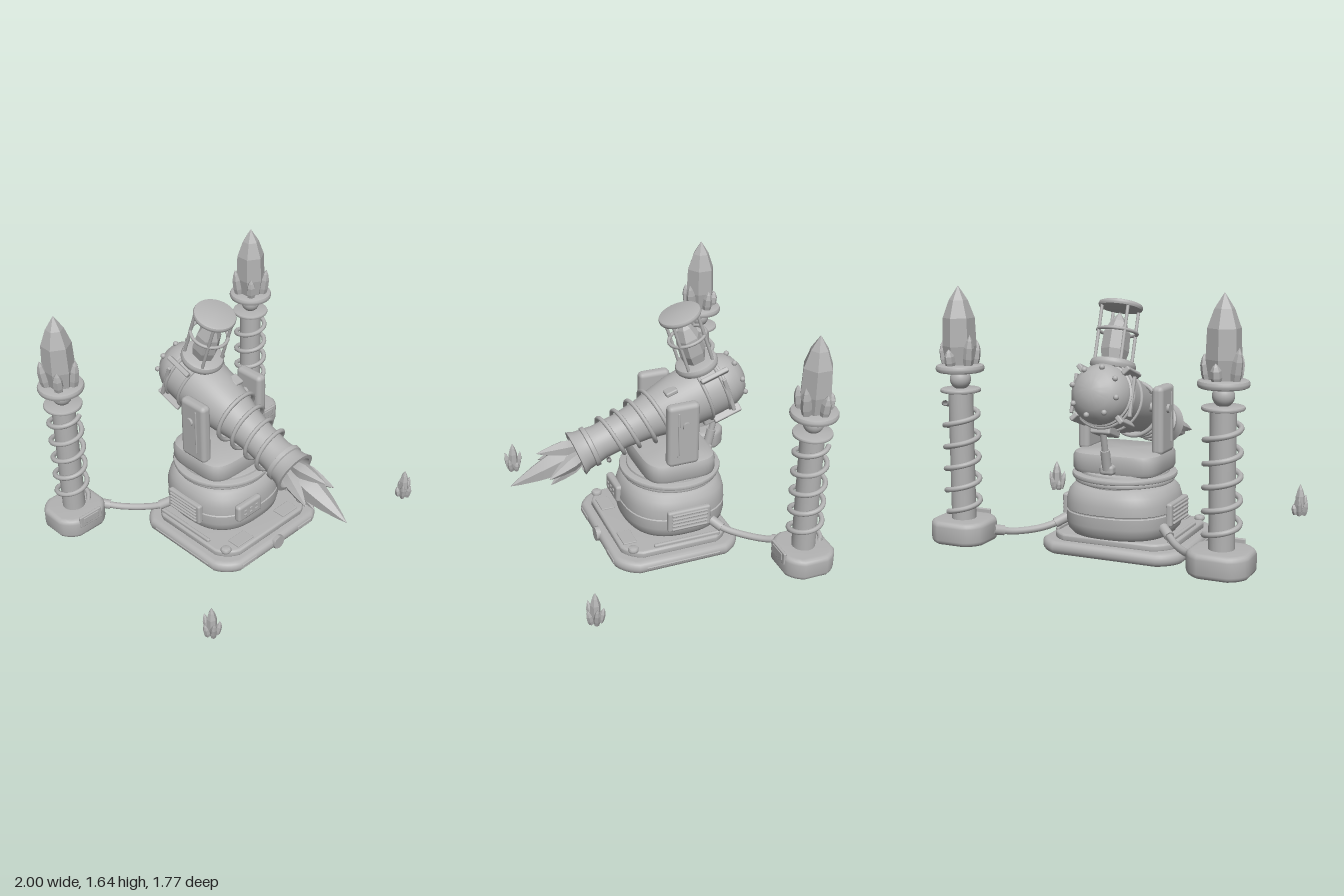
import * as THREE from 'three';
import { toCreasedNormals } from 'three/addons/utils/BufferGeometryUtils.js';
import { RoundedBoxGeometry } from 'three/addons/geometries/RoundedBoxGeometry.js';

const stone = new THREE.MeshStandardMaterial({ color: 0xb3b3b3, side: THREE.DoubleSide });
stone.name = 'plain grey';

const V = (x, y, z) => new THREE.Vector3(x, y, z);

function add(parent, name, geo, x = 0, y = 0, z = 0) {
  const m = new THREE.Mesh(geo, stone);
  m.name = name;
  m.position.set(x, y, z);
  parent.add(m);
  return m;
}

function group(parent, name, x = 0, y = 0, z = 0) {
  const g = new THREE.Group();
  g.name = name;
  g.position.set(x, y, z);
  parent.add(g);
  return g;
}

const lathe = (pts, n = 40) =>
  toCreasedNormals(new THREE.LatheGeometry(pts.map(p => new THREE.Vector2(...p)), n), 0.6);
const rbox = (w, h, d, r) => new RoundedBoxGeometry(w, h, d, 2, r);

// disc with rounded rim, standing on y = 0
function puck(r, h, b = h * 0.4) {
  return lathe([[0, 0], [r - b, 0], [r - b * 0.3, b * 0.3], [r, b], [r, h - b],
    [r - b * 0.3, h - b * 0.3], [r - b, h], [0, h]]);
}

// lathe squared off towards a superellipse of power n
function squircle(pts, depth, n) {
  const g = new THREE.LatheGeometry(pts.map(p => new THREE.Vector2(...p)), 64);
  const p = g.attributes.position;
  for (let i = 0; i < p.count; i++) {
    const x = p.getX(i), z = p.getZ(i), r = Math.hypot(x, z);
    if (r < 1e-6) continue;   // points on the axis stay put
    const k = Math.pow(Math.abs(x / r) ** n + Math.abs(z / r) ** n, -1 / n);
    p.setX(i, x * k);
    p.setZ(i, z * k * depth);
  }
  return toCreasedNormals(g, 0.6);
}

// flat slab with cut corners and a bevelled rim, standing on y = 0
function slab(w, h, d, cut, b) {
  const a = w / 2 - b, c = d / 2 - b, s = new THREE.Shape();
  s.moveTo(-a + cut, -c);
  s.lineTo(a - cut, -c); s.quadraticCurveTo(a - cut * 0.3, -c + cut * 0.3, a, -c + cut);
  s.lineTo(a, c - cut); s.quadraticCurveTo(a - cut * 0.3, c - cut * 0.3, a - cut, c);
  s.lineTo(-a + cut, c); s.quadraticCurveTo(-a + cut * 0.3, c - cut * 0.3, -a, c - cut);
  s.lineTo(-a, -c + cut); s.quadraticCurveTo(-a + cut * 0.3, -c + cut * 0.3, -a + cut, -c);
  const g = new THREE.ExtrudeGeometry(s, { depth: h - 2 * b, bevelSize: b, bevelThickness: b, bevelSegments: 4, curveSegments: 6 });
  return toCreasedNormals(g.translate(0, 0, b).rotateX(-Math.PI / 2), 0.6);
}

// faceted pointed crystal
function crystal(r, h) {
  const pts = [[0, 0], [r * 0.8, 0], [r, h * 0.25], [r * 0.93, h * 0.6], [r * 0.55, h * 0.82], [0, h]];
  const g = new THREE.LatheGeometry(pts.map(p => new THREE.Vector2(...p)), 6).toNonIndexed();
  g.computeVertexNormals();
  return g;
}

// ring of small crystals leaning outwards
function shards(parent, count, ring, r, h, lean) {
  for (let i = 0; i < count; i++) {
    const a = i * Math.PI * 2 / count + 0.5;
    const m = add(parent, 'shard', crystal(r, h * (1 - 0.22 * (i % 3))), ring * Math.sin(a), 0, ring * Math.cos(a));
    m.rotation.set(lean, a, 0, 'YXZ');
  }
}

// coil around y, with radius given by height
function coil(y0, y1, turns, radius, tube, phase) {
  const pts = [];
  for (let i = 0; i <= turns * 16; i++) {
    const f = i / (turns * 16), a = f * turns * Math.PI * 2 + phase, y = y0 + (y1 - y0) * f;
    pts.push(V(radius(y) * Math.sin(a), y, radius(y) * Math.cos(a)));
  }
  return new THREE.TubeGeometry(new THREE.CatmullRomCurve3(pts), turns * 28, tube, 8);
}

function rod(parent, name, a, b, r) {
  const m = add(parent, name, new THREE.CylinderGeometry(r, r, a.distanceTo(b), 20));
  m.position.copy(a).lerp(b, 0.5);
  m.quaternion.setFromUnitVectors(V(0, 1, 0), b.clone().sub(a).normalize());
}

function buildBase(root) {
  const g = group(root, 'base', 0, 0, -0.085);
  add(g, 'footPlate', slab(0.93, 0.08, 0.84, 0.1, 0.035));
  add(g, 'upperPlate', slab(0.8, 0.05, 0.72, 0.1, 0.015), 0, 0.07, 0);
  const hub = add(g, 'frontBadge', new THREE.CylinderGeometry(0.048, 0.048, 0.03, 8), 0, 0.05, 0.42);
  hub.rotation.x = Math.PI / 2;
  for (const s of [-1, 1]) {
    add(g, 'frontSlot', rbox(0.13, 0.03, 0.012, 0.005), s * 0.26, 0.04, 0.418);
    add(g, 'sideStrip', rbox(0.012, 0.012, 0.5, 0.005), s * 0.463, 0.042, 0);
    add(g, 'cornerBolt', puck(0.034, 0.035), s * 0.355, 0.11, 0.3);
    add(g, 'sideRail', rbox(0.025, 0.03, 0.45, 0.01), s * 0.37, 0.125, -0.06);
    add(g, 'deckPlate', rbox(0.14, 0.012, 0.09, 0.004), s * 0.21, 0.122, 0.29);
  }
}

function buildBody(root) {
  const g = group(root, 'body', 0, 0, -0.168);
  add(g, 'drum', squircle([[0, 0.11], [0.26, 0.11], [0.31, 0.125], [0.335, 0.155], [0.345, 0.2], [0.345, 0.262], [0.338, 0.267],
    [0.338, 0.273], [0.345, 0.278], [0.343, 0.33], [0.328, 0.385], [0.298, 0.42], [0.25, 0.437], [0, 0.437]], 0.98, 2.5));
  add(g, 'neck', puck(0.28, 0.1, 0.01), 0, 0.41, 0);
  add(g, 'lowerRing', puck(0.31, 0.03), 0, 0.437, 0);
  add(g, 'upperRing', puck(0.326, 0.032), 0, 0.463, 0);
  add(g, 'turretBlock', squircle([[0, 0.495], [0.25, 0.495], [0.275, 0.507], [0.285, 0.53], [0.285, 0.6], [0.275, 0.623],
    [0.25, 0.636], [0, 0.636]], 0.84, 4.5));
  // front control panel
  add(g, 'controlPanel', rbox(0.21, 0.12, 0.05, 0.02), -0.11, 0.305, 0.338);
  for (let i = 0; i < 6; i++)
    add(g, 'panelKey', rbox(0.022, 0.012, 0.008, 0.003), -0.16 + (i % 3) * 0.05, 0.29 + 0.03 * Math.floor(i / 3), 0.365);
  for (const s of [-1, 1]) {
    // side vents
    add(g, 'ventFrame', rbox(0.04, 0.145, 0.29, 0.015), s * 0.345, 0.268, 0.005);
    for (let i = 0; i < 5; i++)
      add(g, 'ventSlat', rbox(0.02, 0.012, 0.24, 0.005), s * 0.367, 0.218 + i * 0.025, 0.005);
    // yoke arms holding the barrel
    add(g, 'yokeArm', rbox(0.075, 0.42, 0.21, 0.03), s * 0.245, 0.825, 0.015);
    add(g, 'armStrip', rbox(0.01, 0.31, 0.012, 0.004), s * 0.284, 0.835, 0.055);
    rod(g, 'pivotBolt', V(s * 0.15, 0.895, 0.003), V(s * 0.298, 0.895, 0.003), 0.028);
  }
}

function buildBarrel(root) {
  const g = group(root, 'barrel', 0, 0.895, -0.165);
  g.rotation.x = 0.33;
  const tube = group(g, 'barrelTube');
  tube.rotation.x = Math.PI / 2;   // tube y runs forward
  add(tube, 'shell', lathe([[0, -0.52], [0.06, -0.51], [0.115, -0.483], [0.155, -0.44], [0.177, -0.39], [0.18, -0.36], [0.19, -0.355],
    [0.19, -0.2], [0.18, -0.05], [0.155, 0.08], [0.128, 0.2], [0.112, 0.35], [0.11, 0.5], [0.118, 0.545], [0.132, 0.55],
    [0.132, 0.575], [0.122, 0.58], [0.128, 0.62], [0.146, 0.66], [0.12, 0.662], [0.09, 0.58], [0, 0.56]], 48));
  const radius = y => 0.135 + Math.max(0, 0.32 - y) * 0.17;
  add(tube, 'barrelCoil', coil(0.08, 0.5, 4, radius, 0.014, 1));
  for (const y of [-0.33, -0.21]) {
    const band = add(tube, 'band', new THREE.TorusGeometry(0.192, 0.011, 8, 48), 0, y, 0);
    band.rotation.x = Math.PI / 2;
  }
  // rear fins and dome studs
  for (let i = 0; i < 4; i++) {
    const fin = group(tube, 'fin');
    fin.rotation.y = Math.PI / 4 + i * Math.PI / 2;
    add(fin, 'finPlate', rbox(0.055, 0.19, 0.03, 0.008), 0.205, -0.3, 0);
  }
  for (let i = 0; i < 8; i++) {
    const a = i * Math.PI / 4 + 0.2;
    add(tube, 'stud', new THREE.SphereGeometry(0.017, 12, 8), 0.145 * Math.sin(a), -0.465, 0.145 * Math.cos(a));
  }
  for (const s of [-1, 1])
    add(g, 'sideBar', rbox(0.02, 0.24, 0.025, 0.006), s * 0.187, 0, -0.34);
  add(g, 'topPanel', rbox(0.07, 0.03, 0.08, 0.01), 0.085, 0.15, -0.02);
  add(g, 'bellyBox', rbox(0.13, 0.06, 0.16, 0.012), 0, -0.195, -0.24);

  // open lantern on top
  const lamp = group(g, 'lantern', 0, 0, -0.255);
  add(lamp, 'lanternBase', puck(0.138, 0.06), 0, 0.165, 0);
  add(lamp, 'lanternCrystal', crystal(0.085, 0.31), 0, 0.21, 0);
  add(lamp, 'lanternCap', puck(0.134, 0.035), 0, 0.54, 0);
  const hoop = add(lamp, 'hoop', new THREE.TorusGeometry(0.118, 0.011, 8, 40), 0, 0.4, 0);
  hoop.rotation.x = Math.PI / 2;
  for (let i = 0; i < 4; i++) {
    const a = Math.PI / 4 + i * Math.PI / 2, x = 0.118 * Math.sin(a), z = 0.118 * Math.cos(a);
    rod(lamp, 'lanternRod', V(x, 0.2, z), V(x, 0.55, z), 0.01);
  }

  // bud of pointed petals in the muzzle
  const bud = group(tube, 'muzzleBud', 0, 0.6, 0);
  const petal = (w, h) => lathe([[0, 0], [w * 0.6, h * 0.06], [w * 0.95, h * 0.28], [w, h * 0.42], [w * 0.68, h * 0.66], [w * 0.28, h * 0.88], [0, h]], 6);
  add(bud, 'centrePetal', petal(0.082, 0.51));
  for (let i = 0; i < 4; i++) {
    const a = Math.PI / 2 * i;
    const m = add(bud, 'sidePetal', petal(0.052, 0.3), 0.035 * Math.sin(a), 0, 0.035 * Math.cos(a));
    m.rotation.set(0.32, a, 0, 'YXZ');
  }

  // support piston behind the barrel
  rod(root, 'pistonRod', V(0, 0.8, -0.49), V(0, 0.54, -0.43), 0.02);
  rod(root, 'pistonSleeve', V(0, 0.67, -0.46), V(0, 0.55, -0.432), 0.029);
  add(root, 'pistonFoot', rbox(0.09, 0.06, 0.08, 0.02), 0, 0.545, -0.415);
}

function buildPylon(root, s) {
  const g = group(root, s > 0 ? 'leftPylon' : 'rightPylon', s * 0.82, 0, -0.722);
  add(g, 'pylonFoot', slab(0.36, 0.14, 0.335, 0.07, 0.03), 0, 0.1, 0);
  add(g, 'footPanel', rbox(0.17, 0.08, 0.02, 0.006), 0, 0.22, 0.165);
  add(g, 'footPanelInset', rbox(0.12, 0.045, 0.012, 0.004), 0, 0.225, 0.174);
  rod(g, 'column', V(0, 0.23, 0), V(0, 1.03, 0), 0.073);
  add(g, 'columnCoil', coil(0.29, 0.95, 5, () => 0.099, 0.016, s > 0 ? 2.5 : 0.6));
  add(g, 'collar', puck(0.12, 0.024), 0, 1.008, 0);
  add(g, 'ball', new THREE.SphereGeometry(0.062, 24, 16), 0, 1.085, 0);
  add(g, 'dish', puck(0.143, 0.045), 0, 1.128, 0);
  const top = group(g, 'crystalCluster', 0, 1.165, 0);
  add(top, 'mainCrystal', crystal(0.1, 0.472));
  shards(top, 5, 0.085, 0.032, 0.19, 0.15);
  // sagging power cable
  const pts = [V(s * 0.63, 0.165, -0.655), V(s * 0.56, 0.145, -0.58), V(s * 0.45, 0.145, -0.46), V(s * 0.38, 0.165, -0.38), V(s * 0.32, 0.2, -0.33)];
  add(root, 'cable', new THREE.TubeGeometry(new THREE.CatmullRomCurve3(pts), 30, 0.022, 12));
  rod(root, 'cableSleeve', pts[0].clone().lerp(pts[1], -0.2), pts[0].clone().lerp(pts[1], 0.4), 0.031);
  rod(root, 'cableSleeve', pts[3], pts[4], 0.031);
}

export function createModel() {
  const root = new THREE.Group();
  root.name = 'crystalCannon';
  buildBase(root);
  buildBody(root);
  buildBarrel(root);
  for (const s of [-1, 1]) {
    buildPylon(root, s);
    // loose crystals in front
    const loose = group(root, 'groundCrystals', s * 0.9, 0.1, 0.65);
    loose.rotation.y = s;
    add(loose, 'mainCrystal', crystal(0.033, 0.205));
    shards(loose, 5, 0.028, 0.02, 0.13, 0.22);
  }
  return root;
}
